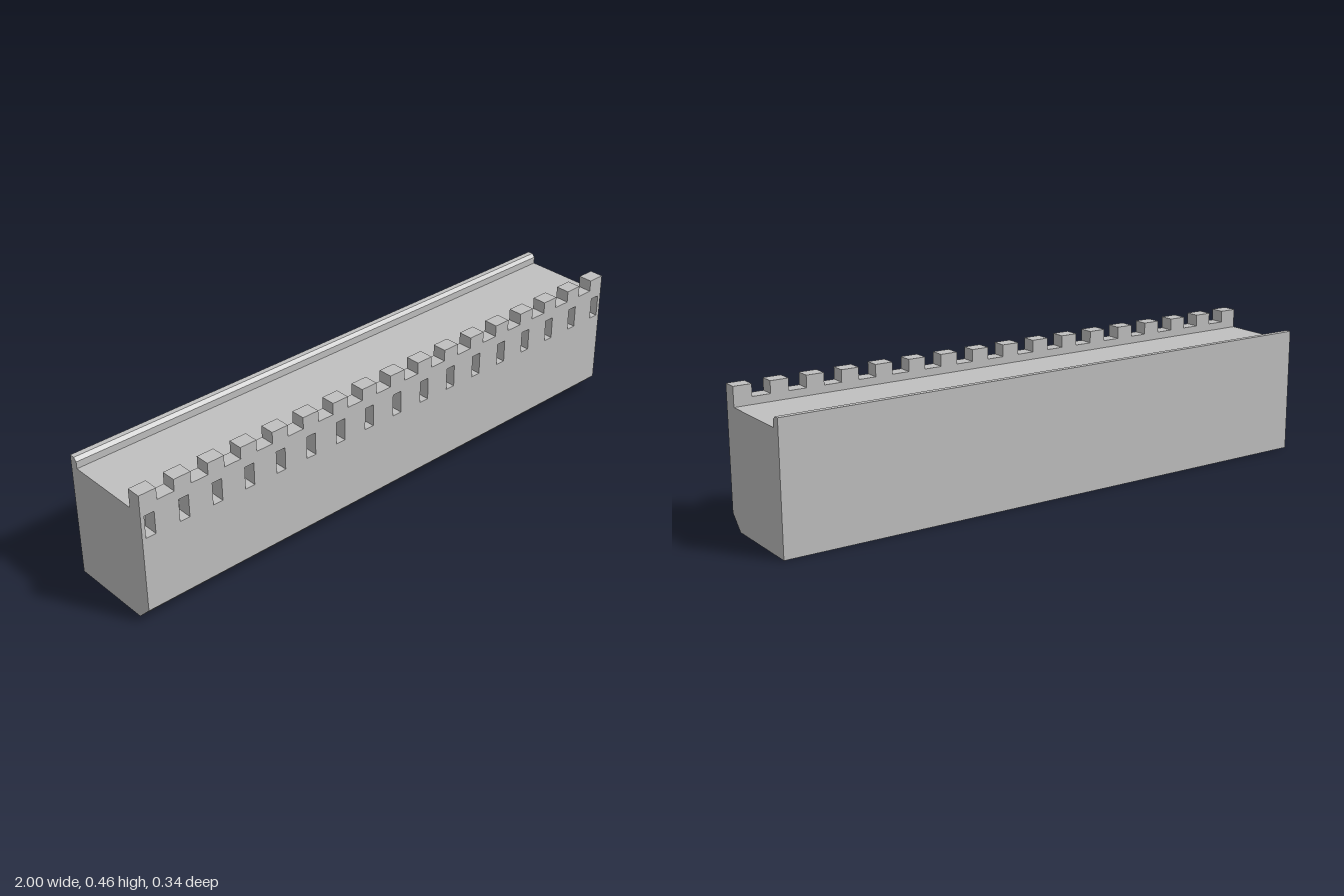
import * as THREE from 'three';

const COUNT = 17;                  // merlons, one slot under each
const UNIT = 2 / (2 * COUNT - 1);  // width of a merlon and of a gap
const DEPTH = 0.05;                // thickness of the front wall
const FRONT = 0.1725, INNER = FRONT - DEPTH;
const DECK = 0.395, GAP_Y = 0.42, TOP = 0.46;

const polygon = (points) => new THREE.Shape(points.map(([x, y]) => new THREE.Vector2(x, y)));

export function createModel() {
  const group = new THREE.Group();
  const stone = new THREE.MeshStandardMaterial({ color: 0xc0c0c0 });
  stone.name = 'grey stone';

  const add = (name, geometry) => {
    const mesh = new THREE.Mesh(geometry, stone);
    mesh.name = name;
    group.add(mesh);
  };

  // Wall core with deck, chamfered foot and low rear parapet: profile as [-z, y], swept along x
  const core = new THREE.ExtrudeGeometry(polygon([
    [-INNER, 0], [FRONT, 0], [FRONT, 0.43], [0.154, 0.43], [0.143, 0.419],
    [0.143, DECK], [-INNER, DECK], [-INNER, 0.05], [-FRONT, 0.05],
  ]), { depth: 2, bevelEnabled: false });
  core.rotateY(Math.PI / 2).translate(-1, 0, 0);
  add('wallCore', core);

  // Front wall with battlements and recessed arrow slots
  const outline = [[-1, 0.05], [1, 0.05]];
  const slots = [];
  for (let i = COUNT - 1; i >= 0; i--) {
    const left = -1 + 2 * i * UNIT, right = left + UNIT;
    if (i < COUNT - 1) outline.push([right, GAP_Y]);
    outline.push([right, TOP], [left, TOP]);
    if (i > 0) outline.push([left, GAP_Y]);
    const mid = (left + right) / 2, w = 0.0175;
    slots.push(polygon([[mid - w, 0.307], [mid - w, 0.385], [mid + w, 0.385], [mid + w, 0.307]]));
  }
  const face = polygon(outline);
  face.holes.push(...slots);
  const battlements = new THREE.ExtrudeGeometry(face, { depth: DEPTH, bevelEnabled: false });
  battlements.translate(0, 0, INNER);
  add('battlementWall', battlements);

  return group;
}
